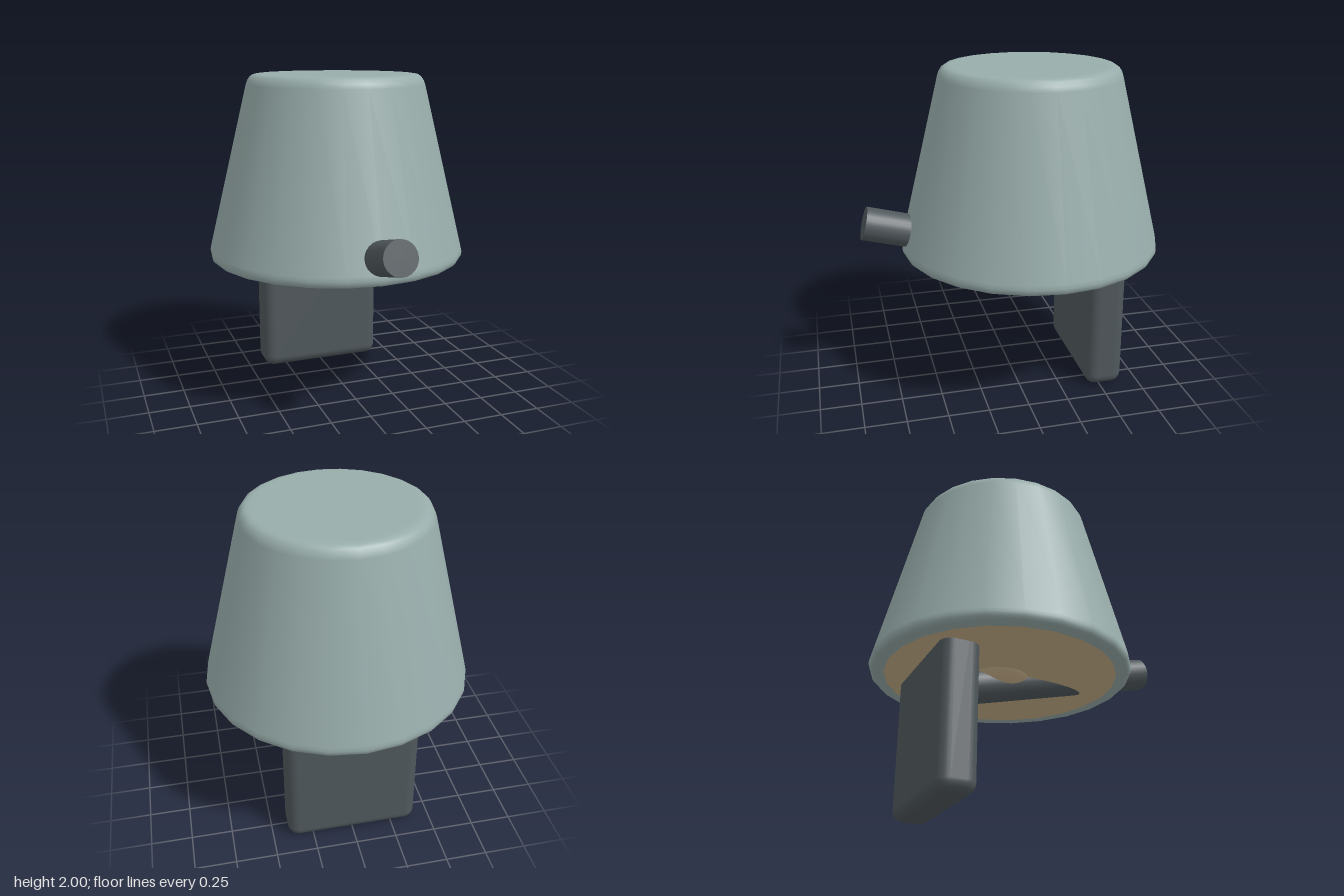
import * as THREE from 'three';
import { RoundedBoxGeometry } from 'three/addons/geometries/RoundedBoxGeometry.js';

export function createModel() {
  const model = new THREE.Group();
  model.name = 'wallLamp';

  const mat = (name, color) => {
    const m = new THREE.MeshStandardMaterial({ color });
    m.name = name;
    return m;
  };
  const shadeGreen = mat('greyGreen', 0x98adab);
  const darkGrey = mat('darkGrey', 0x50585c);
  const warmTan = mat('warmTan', 0xc9b18a);

  const add = (name, geometry, material, x, y, z) => {
    const mesh = new THREE.Mesh(geometry, material);
    mesh.name = name;
    mesh.position.set(x, y, z);
    model.add(mesh);
    return mesh;
  };

  const SIDES = 24, SHADE_Z = -0.123, RIM_Y = 0.862, INNER_R = 0.71;

  // Tapered shade with softly rounded rims, closed at the top
  const profile = [
    [INNER_R, RIM_Y], [0.765, RIM_Y], [0.785, 0.867], [0.798, 0.882], [0.802, 0.905], [0.797, 0.93],
    [0.55, 1.935], [0.541, 1.96], [0.525, 1.984], [0.505, 1.996], [0.48, 2], [0.45, 2], [0, 2],
  ].map(([r, y]) => new THREE.Vector2(r, y));
  add('shade', new THREE.LatheGeometry(profile, SIDES), shadeGreen, 0, 0, SHADE_Z);

  // Diffuser closing the underside, with the bulb showing through it
  const diffuser = add('diffuser', new THREE.CircleGeometry(INNER_R, SIDES), warmTan, 0, RIM_Y, SHADE_Z);
  diffuser.rotation.x = Math.PI / 2;
  add('bulb', new THREE.SphereGeometry(0.235, 24, 16), warmTan, 0, 1.01, SHADE_Z - 0.005);

  // Rounded wall plate
  add('wallPlate', new RoundedBoxGeometry(0.81, 1.05, 0.236, 4, 0.07), darkGrey, 0, 0.525, -0.528);

  // Slanted arm running from the plate out through the front of the shade
  const back = new THREE.Vector3(0, 0.751, -0.389);
  const front = new THREE.Vector3(0, 1.09, 0.901);
  const axis = front.clone().sub(back);
  const mid = back.clone().add(front).multiplyScalar(0.5);
  const arm = add('arm', new THREE.CylinderGeometry(0.102, 0.102, axis.length(), 24), darkGrey, mid.x, mid.y, mid.z);
  arm.quaternion.setFromUnitVectors(new THREE.Vector3(0, 1, 0), axis.normalize());

  return model;
}
